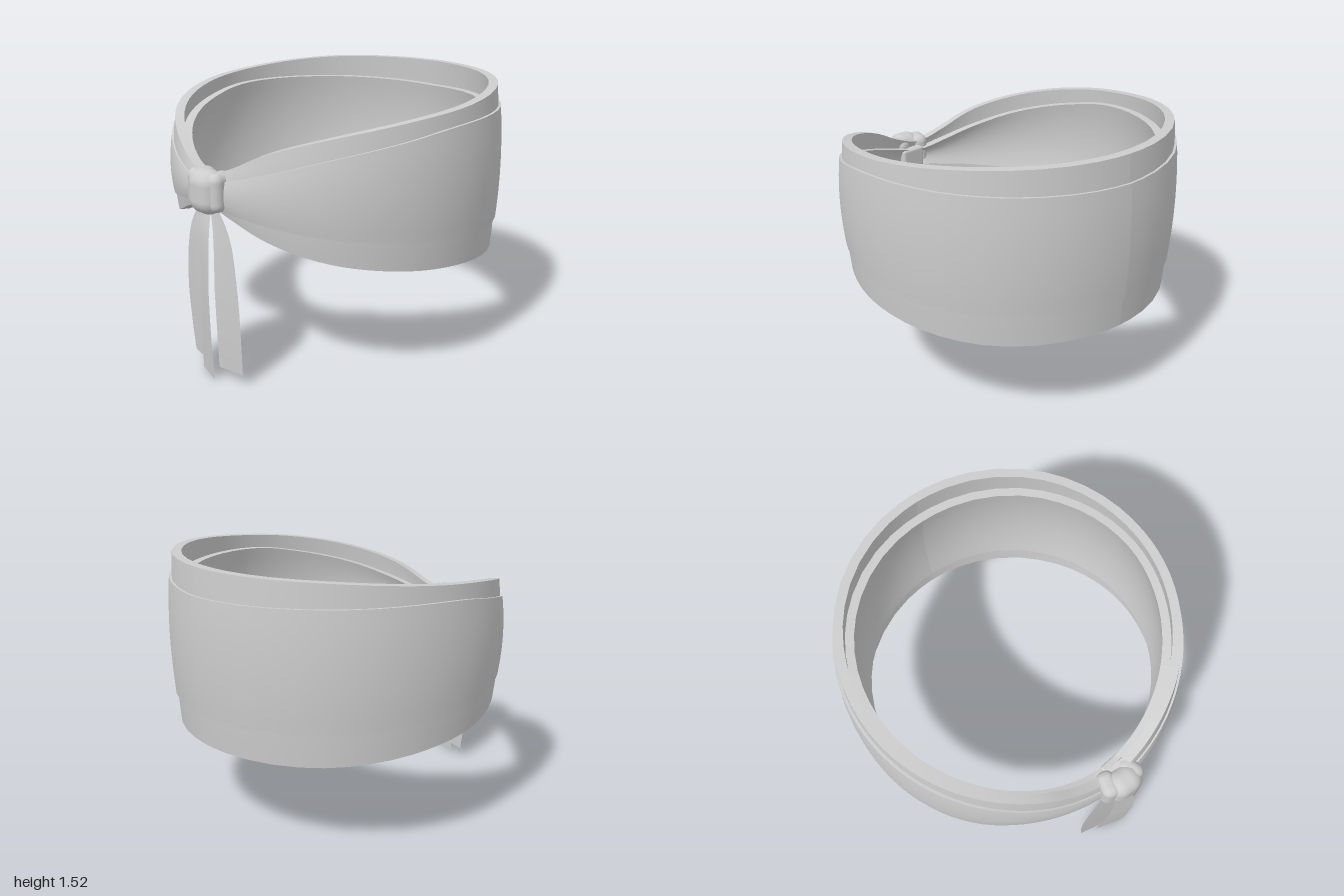
import * as THREE from 'three';
import { RoundedBoxGeometry } from 'three/addons/geometries/RoundedBoxGeometry.js';

const cloth = new THREE.MeshStandardMaterial({ color: 0xcccccc, side: THREE.DoubleSide });
cloth.name = 'cloth grey';
const CENTER_Z = -0.04;

// Smooth grid surface from a rule f(u, v) -> [x, y, z], u and v in 0..1
function sheet(name, f, nu, nv) {
  const pos = [], idx = [];
  for (let i = 0; i <= nu; i++) for (let j = 0; j <= nv; j++) pos.push(...f(i / nu, j / nv));
  for (let i = 0; i < nu; i++) {
    for (let j = 0; j < nv; j++) {
      const a = i * (nv + 1) + j, b = a + nv + 1;
      idx.push(a, b, a + 1, b, b + 1, a + 1);
    }
  }
  const g = new THREE.BufferGeometry();
  g.setAttribute('position', new THREE.Float32BufferAttribute(pos, 3));
  g.setIndex(idx);
  g.computeVertexNormals();
  const m = new THREE.Mesh(g, cloth);
  m.name = name;
  return m;
}

// Edge heights by angle from the front, mirrored to go all the way round
const ANGLES = [0, 0.2, 0.45, 0.8, 1.2, 1.6, 2.3, Math.PI];
function edge(heights) {
  const half = ANGLES.map((a, i) => new THREE.Vector2(a, heights[i]));
  const other = half.slice(1).reverse().map(p => new THREE.Vector2(-p.x, p.y));
  return new THREE.SplineCurve([...other, ...half]);
}

// Closed cloth ring that narrows toward the knot; both walls bulge outward
function band(name, top, bottom, outer, inner, bulgeOut, bulgeIn) {
  const g = new THREE.Group();
  g.name = name;
  const topEdge = edge(top), bottomEdge = edge(bottom);
  const point = (u, v, r) => {
    const t = topEdge.getPoint(u), b = bottomEdge.getPoint(u);
    return [r * Math.sin(t.x), b.y + (t.y - b.y) * v, CENTER_Z + r * Math.cos(t.x)];
  };
  const bow = v => 1 - (2 * v - 1) ** 2;
  const N = 84;
  g.add(
    sheet(name + 'Outside', (u, v) => point(u, v, outer + bulgeOut * bow(v)), N, 10),
    sheet(name + 'Inside', (u, v) => point(u, 1 - v, inner + bulgeIn * bow(v)), N, 10),
    sheet(name + 'TopRim', (u, v) => point(u, 1, outer + (inner - outer) * v), N, 1),
    sheet(name + 'BottomRim', (u, v) => point(u, 0, inner + (outer - inner) * v), N, 1),
  );
  return g;
}

// Hanging strip; each row is [y, left x, right x, z], tilt turns one side forward
function tail(name, rows, tilt) {
  const curve = i => new THREE.CatmullRomCurve3(rows.map(r => new THREE.Vector3(r[i], r[0], r[3])));
  const left = curve(1), right = curve(2);
  return sheet(name, (u, v) => {
    const a = left.getPoint(u), b = right.getPoint(u);
    const p = a.lerp(b, v);
    return [p.x, p.y, p.z + tilt * (v - 0.5) * Math.min(1, u * 2)];
  }, 14, 4);
}

function box(name, w, h, d, x, y, z, r, ry = 0) {
  const m = new THREE.Mesh(new RoundedBoxGeometry(w, h, d, 5, r), cloth);
  m.name = name;
  m.position.set(x, y, z);
  m.rotation.y = ry;
  return m;
}

export function createModel() {
  const model = new THREE.Group();
  model.name = 'knottedHeadband';

  // Wide layer underneath and narrower layer folded over it
  model.add(band('wideLayer',
    [1.11, 1.16, 1.265, 1.355, 1.42, 1.46, 1.51, 1.52],
    [0.94, 0.89, 0.8, 0.71, 0.65, 0.61, 0.555, 0.55],
    0.922, 0.87, 0.02, 0.02));
  model.add(band('middleLayer',
    [1.07, 1.1, 1.165, 1.255, 1.33, 1.38, 1.385, 1.37],
    [0.96, 0.93, 0.895, 0.85, 0.81, 0.77, 0.735, 0.72],
    0.945, 0.83, 0.015, 0.035));

  // Knot: rounded front loop with a wider wrap behind it
  const knot = new THREE.Group();
  knot.name = 'knot';
  knot.add(
    box('knotFront', 0.2, 0.24, 0.16, 0.06, 1.032, 0.92, 0.078),
    box('knotWrapRight', 0.1, 0.21, 0.15, -0.025, 1.035, 0.89, 0.045, -0.25),
    box('knotWrapLeft', 0.1, 0.21, 0.15, 0.125, 1.035, 0.89, 0.045, 0.25),
    box('innerTuck', 0.16, 0.13, 0.06, 0.08, 1.02, 0.81, 0.015, 0.1),
  );
  model.add(knot);

  // Three loose ends hanging from the knot
  const tails = new THREE.Group();
  tails.name = 'tails';
  tails.add(
    tail('rightTail', [[0.95, -0.03, 0.03, 0.91], [0.8, -0.11, 0.03, 0.925], [0.5, -0.16, 0.035, 0.93],
      [0.25, -0.15, 0.035, 0.925], [0.06, -0.13, 0.03, 0.92]], 0.03),
    tail('middleTail', [[0.95, 0, 0.09, 0.92], [0.8, 0.01, 0.125, 0.955], [0.5, 0.02, 0.15, 0.975],
      [0.25, 0, 0.15, 0.97], [0, -0.02, 0.145, 0.955]], 0.045),
    tail('leftTail', [[0.95, 0.07, 0.14, 0.91], [0.8, 0.11, 0.24, 0.92], [0.5, 0.13, 0.295, 0.93],
      [0.25, 0.14, 0.31, 0.93], [0.06, 0.14, 0.31, 0.925]], -0.03),
  );
  model.add(tails);
  return model;
}
